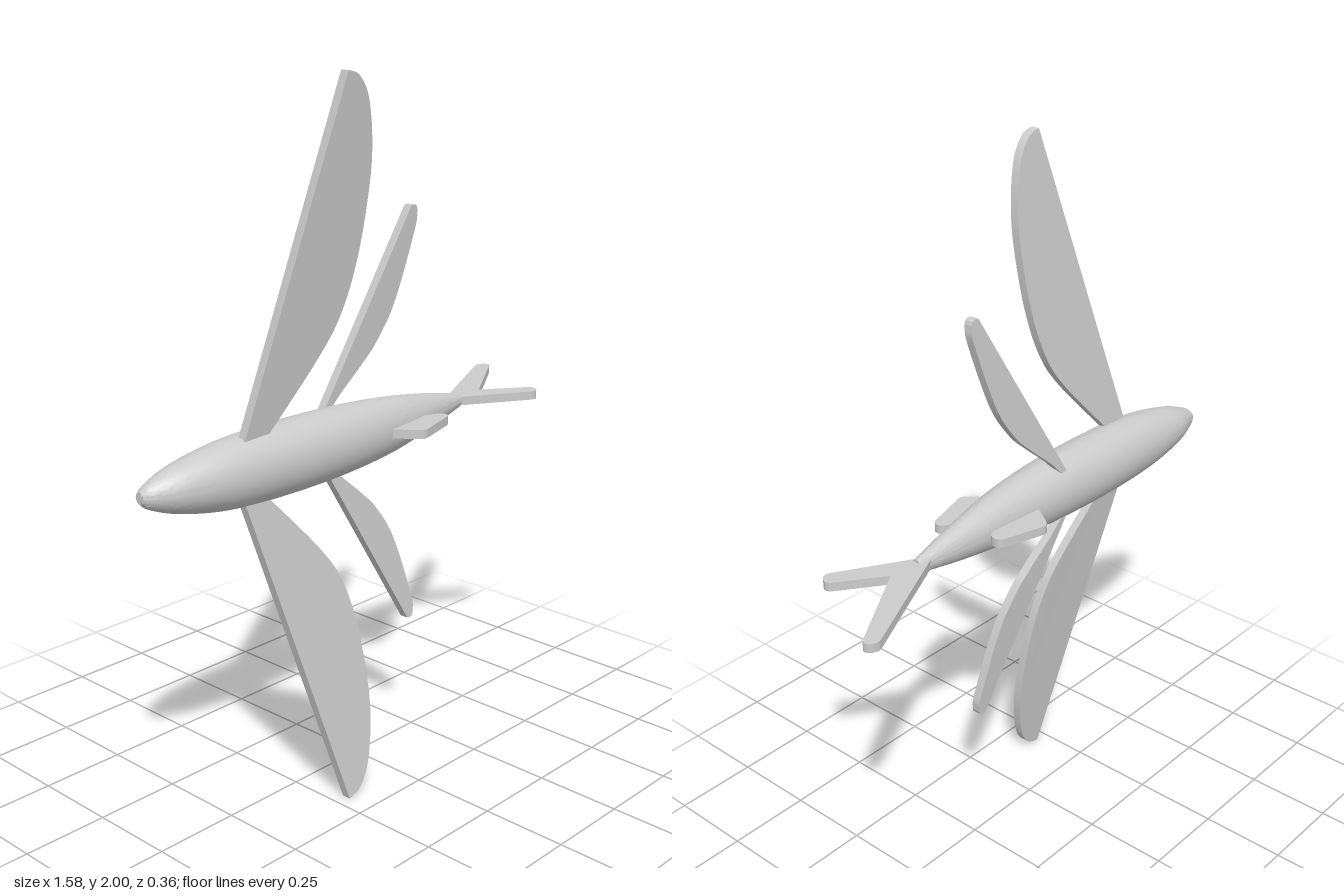
import * as THREE from 'three';
import { toCreasedNormals } from 'three/addons/utils/BufferGeometryUtils.js';

const THICK = 0.026;
const material = new THREE.MeshStandardMaterial({ color: 0xcccccc });

// Body from elliptical sections: x, half height, half depth, centre z
const sections = [
  [-0.785, 0.016, 0.015, 0.015], [-0.76, 0.035, 0.031, 0.019], [-0.675, 0.065, 0.061, 0.024],
  [-0.525, 0.092, 0.081, 0.029], [-0.32, 0.101, 0.0875, 0.031], [-0.1, 0.097, 0.082, 0.032],
  [0.1, 0.081, 0.066, 0.029], [0.28, 0.053, 0.042, 0.019], [0.44, 0.02, 0.016, 0.01],
];

function bodyGeometry(rings = 64, sides = 48) {
  const radii = new THREE.CatmullRomCurve3(
    sections.map(([x, ry, rz]) => new THREE.Vector3(x, ry, rz)), false, 'catmullrom');
  const centres = new THREE.CatmullRomCurve3(
    sections.map(([x, , , z]) => new THREE.Vector3(x, 0, z)), false, 'catmullrom');
  const pos = [], idx = [];
  // Rings -1 and rings + 1 collapse to a point and close the ends
  for (let i = -1; i <= rings + 1; i++) {
    const t = THREE.MathUtils.clamp(i / rings, 0, 1);
    const r = radii.getPoint(t), c = centres.getPoint(t);
    const k = i < 0 || i > rings ? 0 : 1;
    for (let j = 0; j < sides; j++) {
      const a = (j / sides) * Math.PI * 2;
      pos.push(r.x, 1 + k * r.y * Math.cos(a), c.z + k * r.z * Math.sin(a));
    }
  }
  for (let i = 0; i < rings + 2; i++) {
    for (let j = 0; j < sides; j++) {
      const a = i * sides + j, b = i * sides + (j + 1) % sides;
      const c = a + sides, d = b + sides;
      if (i > 0) idx.push(a, b, c);
      if (i === 0) idx.push(a, d, c);
      else if (i < rings + 1) idx.push(b, d, c);
    }
  }
  const g = new THREE.BufferGeometry();
  g.setAttribute('position', new THREE.Float32BufferAttribute(pos, 3));
  g.setIndex(idx);
  return toCreasedNormals(g, 0.7);
}

const vec = ([x, y]) => new THREE.Vector2(x, y);

// Polygon with rounded corners: each corner is x, y, cut distance
function roundedShape(corners) {
  const s = new THREE.Shape(), n = corners.length;
  corners.forEach((p, i) => {
    const c = vec(p), r = p[2] || 0;
    const toward = (q) => c.clone().add(vec(q).sub(c).setLength(r));
    const a = toward(corners[(i + n - 1) % n]), b = toward(corners[(i + 1) % n]);
    if (i === 0) s.moveTo(a.x, a.y); else s.lineTo(a.x, a.y);
    if (r) s.quadraticCurveTo(c.x, c.y, b.x, b.y);
  });
  s.closePath();
  return s;
}

// Straight leading edge, then a spline from the tip back to the root
function sweptShape(root, tip, trailing, sign) {
  const flip = ([x, y]) => new THREE.Vector2(x, y * sign);
  const s = new THREE.Shape();
  const a = flip(root), b = flip(tip);
  s.moveTo(a.x, a.y);
  s.lineTo(b.x, b.y);
  s.splineThru(trailing.map(flip));
  s.closePath();
  return s;
}

function plate(shape, curveSegments) {
  const g = new THREE.ExtrudeGeometry(shape, { depth: THICK, bevelEnabled: false, curveSegments });
  return g.translate(0, 0, -THICK / 2);
}

export function createModel() {
  const model = new THREE.Group();
  const add = (name, geometry) => {
    const mesh = new THREE.Mesh(geometry, material);
    mesh.name = name;
    model.add(mesh);
  };

  add('body', bodyGeometry());

  // Paired side fins, outlined by distance from the body axis; z = z0 + slope * distance
  const paired = [
    { name: 'pectoralFin', root: [-0.485, 0.075], tip: [-0.212, 1], z0: 0.043, slope: 0.12,
      trailing: [[-0.17, 0.985], [-0.13, 0.93], [-0.103, 0.82], [-0.098, 0.7], [-0.118, 0.52],
        [-0.162, 0.375], [-0.235, 0.265], [-0.4, 0.085], [-0.41, 0.075]] },
    { name: 'pelvicFin', root: [-0.14, 0.06], tip: [0.178, 0.613], z0: -0.017, slope: 0.077,
      trailing: [[0.197, 0.612], [0.204, 0.592], [0.198, 0.54], [0.135, 0.35], [0.07, 0.245],
        [0.01, 0.185], [-0.07, 0.115], [-0.12, 0.06]] },
  ];
  for (const { name, root, tip, trailing, z0, slope } of paired) {
    for (const sign of [1, -1]) {
      const g = plate(sweptShape(root, tip, trailing, sign), 40);
      const p = g.attributes.position;
      for (let i = 0; i < p.count; i++) p.setZ(i, p.getZ(i) + z0 + slope * Math.abs(p.getY(i)));
      add((sign > 0 ? 'upper ' : 'lower ') + name, toCreasedNormals(g.translate(0, 1, 0), 0.5));
    }
  }

  // Fins in the middle plane, outlined in x and z
  const median = {
    dorsalFin: [[0.03, 0], [0.01, -0.045], [0.062, -0.122, 0.02], [0.212, -0.077, 0.02],
      [0.212, -0.043, 0.015], [0.16, -0.02]],
    analFin: [[0.06, 0.06], [0.04, 0.1], [0.095, 0.174, 0.02], [0.26, 0.125, 0.02],
      [0.258, 0.094, 0.015], [0.17, 0.06]],
    tailFin: [[0.38, 0.01], [0.4, -0.006], [0.775, -0.192, 0.025], [0.802, -0.16, 0.02],
      [0.532, 0.012], [0.67, 0.113, 0.02], [0.643, 0.152, 0.025], [0.42, 0.02]],
  };
  for (const [name, corners] of Object.entries(median)) {
    const g = plate(roundedShape(corners), 8).rotateX(Math.PI / 2).translate(0, 1, 0);
    add(name, toCreasedNormals(g, 0.5));
  }
  return model;
}
